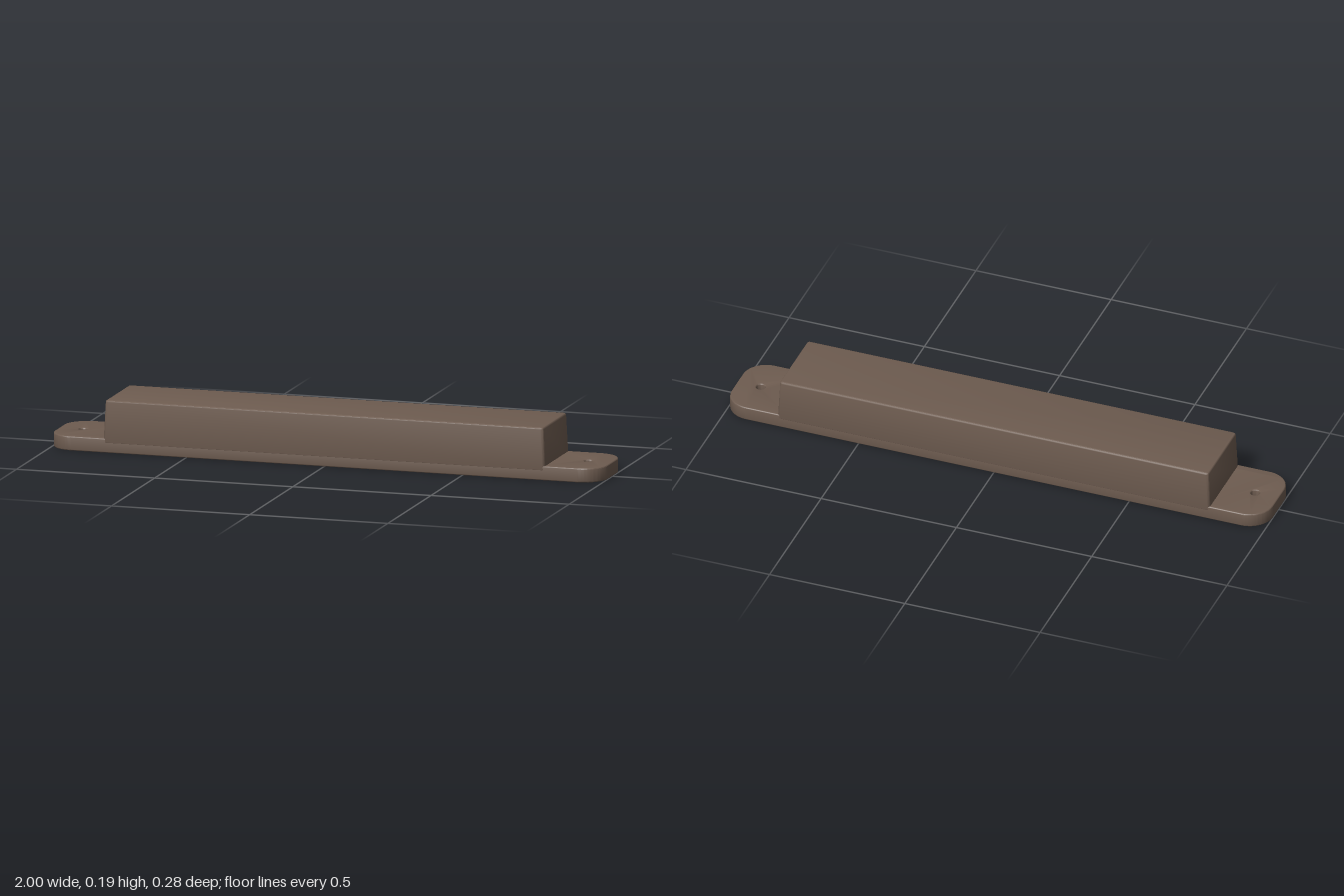
import * as THREE from 'three';
import { toCreasedNormals } from 'three/addons/utils/BufferGeometryUtils.js';

// Outline of a rectangle with rounded corners, centred on the origin
function roundedRect(halfW, halfD, r) {
  const s = new THREE.Shape();
  s.absarc(halfW - r, halfD - r, r, 0, Math.PI / 2);
  s.absarc(-halfW + r, halfD - r, r, Math.PI / 2, Math.PI);
  s.absarc(-halfW + r, -halfD + r, r, Math.PI, Math.PI * 1.5);
  s.absarc(halfW - r, -halfD + r, r, Math.PI * 1.5, Math.PI * 2);
  s.closePath();
  return s;
}

// Upright slab from y0 to y1 with softened top and bottom edges
function slab(shape, y0, y1, bevel) {
  const g = new THREE.ExtrudeGeometry(shape, {
    depth: y1 - y0 - 2 * bevel, bevelThickness: bevel, bevelSize: bevel,
    bevelOffset: -bevel, bevelSegments: 3, curveSegments: 12,
  });
  g.rotateX(-Math.PI / 2);
  g.translate(0, y0 + bevel, 0);
  return g;
}

export function createModel() {
  const group = new THREE.Group();
  const brown = new THREE.MeshStandardMaterial({ color: 0x6e5c50 });
  brown.name = 'brown';

  const add = (name, geometry) => {
    const mesh = new THREE.Mesh(toCreasedNormals(geometry, 0.6), brown);
    mesh.name = name;
    group.add(mesh);
  };

  // Mounting plate with a screw hole and an underside groove at each end
  const plate = roundedRect(1, 0.14, 0.085);
  for (const side of [-1, 1]) {
    plate.holes.push(new THREE.Path().absarc(side * 0.914, 0, 0.016, 0, Math.PI * 2, true));
    const x = side * 0.774, w = 0.008, d = 0.11;
    plate.holes.push(new THREE.Path([
      new THREE.Vector2(x - w, -d), new THREE.Vector2(x - w, d),
      new THREE.Vector2(x + w, d), new THREE.Vector2(x + w, -d),
    ]));
  }
  // Half-round cable pocket in the underside
  const pocket = new THREE.Path();
  pocket.absarc(0.752, 0, 0.074, Math.PI / 2, Math.PI * 1.5);
  pocket.closePath();
  plate.holes.push(pocket);
  add('mountingPlate', slab(plate, 0, 0.05, 0.004));

  // Raised housing, drawn in slightly towards the top
  const housing = slab(roundedRect(0.8, 0.1405, 0.01), 0.03, 0.185, 0.007);
  const p = housing.attributes.position;
  for (let i = 0; i < p.count; i++) {
    const t = (p.getY(i) - 0.03) / 0.155;
    p.setX(i, p.getX(i) * (1 - 0.01 * t));
    p.setZ(i, p.getZ(i) * (1 - 0.022 * t));
  }
  add('housing', housing);

  return group;
}
